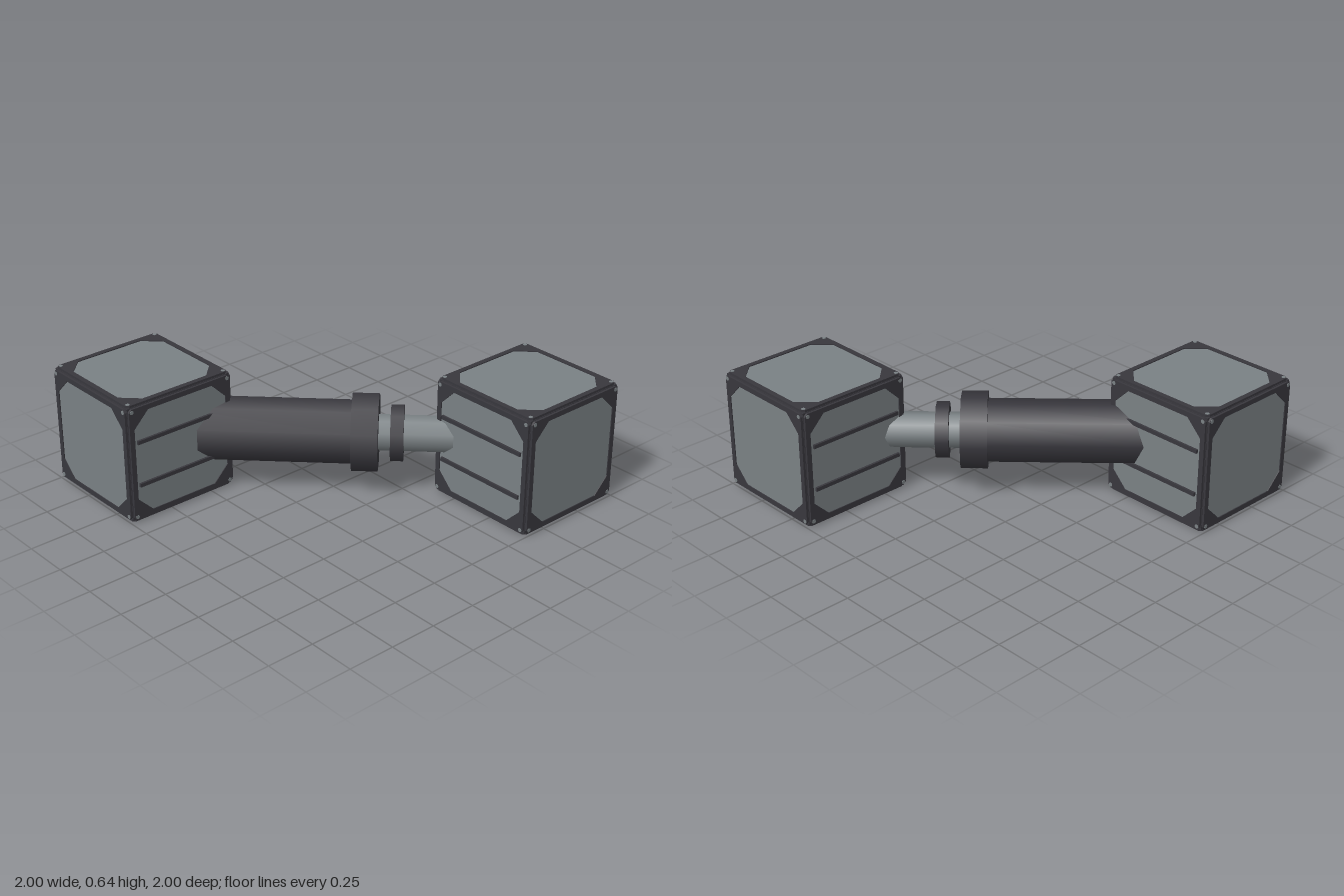
import * as THREE from 'three';

const mat = (name, color) => Object.assign(new THREE.MeshStandardMaterial({ color }), { name });

// Square with cut corners
function cutSquare(Type, h, c) {
  const k = h - c;
  return new Type([[k, -h], [h, -k], [h, k], [k, h], [-k, h], [-h, k], [-h, -k], [-k, -h]]
    .map(([x, y]) => new THREE.Vector2(x, y)));
}

export function createModel() {
  const dark = mat('dark metal', 0x38373d);
  const grey = mat('grey panel', 0x7a8184);
  const model = new THREE.Group();
  model.name = 'strut';

  const add = (parent, name, geo, material, x = 0, y = 0, z = 0) => {
    const m = new THREE.Mesh(geo, material);
    m.name = name;
    m.position.set(x, y, z);
    parent.add(m);
    return m;
  };

  // Shared parts of a cube side, facing local +z
  const frameShape = cutSquare(THREE.Shape, 0.305, 0.015);
  frameShape.holes.push(cutSquare(THREE.Path, 0.278, 0.085));
  const frameGeo = new THREE.ExtrudeGeometry(frameShape, { depth: 0.02, bevelEnabled: false });
  const panelGeo = new THREE.ExtrudeGeometry(cutSquare(THREE.Shape, 0.278, 0.085), { depth: 0.009, bevelEnabled: false });
  const boltGeo = new THREE.CylinderGeometry(0.011, 0.011, 0.006, 8).rotateX(Math.PI / 2);
  const railGeo = new THREE.BoxGeometry(0.53, 0.02, 0.024);

  function cubeSide(railed) {
    const side = new THREE.Group();
    side.name = 'cubeSide';
    add(side, 'frame', frameGeo, dark, 0, 0, 0.3);
    add(side, 'panel', panelGeo, grey, 0, 0, 0.306);
    for (const x of [-0.289, 0.289])
      for (const y of [-0.289, 0.289]) add(side, 'bolt', boltGeo, grey, x, y, 0.319);
    if (railed)
      for (const y of [-0.118, 0.118]) add(side, 'rail', railGeo, dark, 0, y, 0.315);
    return side;
  }

  // End cubes: the two sides facing the middle carry rails
  for (const s of [-1, 1]) {
    const cube = new THREE.Group();
    cube.name = s < 0 ? 'backCube' : 'frontCube';
    cube.position.set(0.68 * s, 0.32, 0.68 * s);
    add(cube, 'core', new THREE.BoxGeometry(0.616, 0.616, 0.616), dark);
    for (let i = 0; i < 4; i++) {
      const side = cubeSide(s < 0 ? i < 2 : i > 1);
      side.rotation.y = i * Math.PI / 2;
      cube.add(side);
    }
    for (const r of [-1, 1]) {
      const side = cubeSide(false);
      side.rotation.x = r * Math.PI / 2;
      cube.add(side);
    }
    model.add(cube);
  }

  // Diagonal piston, nine-sided, local y running from back cube to front cube
  const piston = new THREE.Group();
  piston.name = 'piston';
  const q = Math.SQRT1_2;
  piston.quaternion.setFromRotationMatrix(new THREE.Matrix4().makeBasis(
    new THREE.Vector3(0, 1, 0), new THREE.Vector3(q, 0, q), new THREE.Vector3(q, 0, -q)));
  piston.position.y = 0.323;
  for (const [name, r, from, to, m] of [
    ['barrel', 0.166, -0.8, 0.1, dark],
    ['collar', 0.202, 0.095, 0.23, dark],
    ['nut', 0.146, 0.29, 0.357, dark],
    ['rod', 0.094, 0.1, 0.8, grey],
  ]) add(piston, name, new THREE.CylinderGeometry(r, r, to - from, 9), m, 0, (from + to) / 2, 0);
  model.add(piston);

  return model;
}
